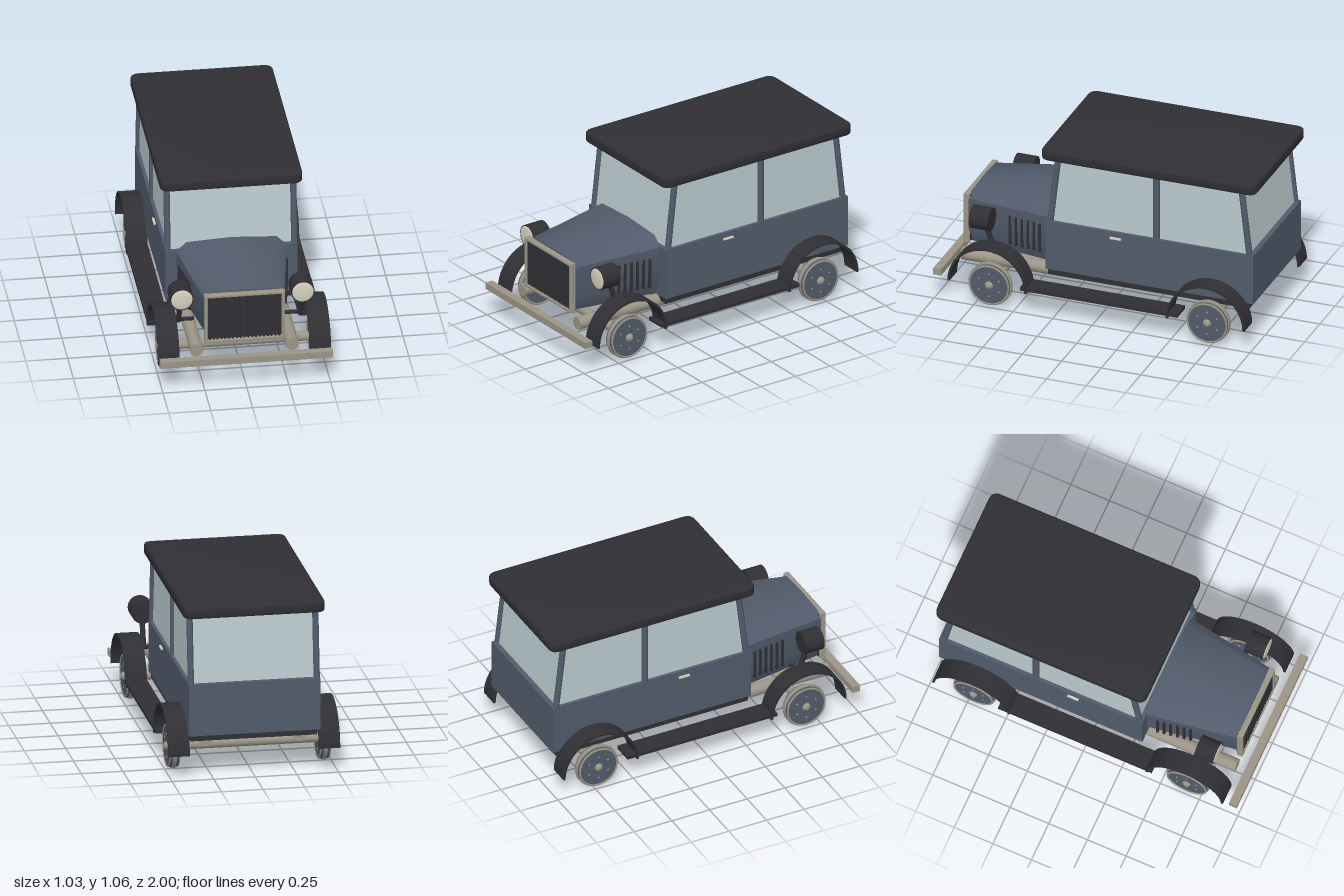
import * as THREE from 'three';
import { toCreasedNormals } from 'three/addons/utils/BufferGeometryUtils.js';

const mat = (name, color) => Object.assign(new THREE.MeshStandardMaterial({ color }), { name });

export function createModel() {
  const slate = mat('slate paint', 0x515b6b);
  const black = mat('black trim', 0x302f34);
  const metal = mat('warm grey metal', 0x9a9586);
  const cream = mat('cream lamp', 0xd6d2be);
  const glass = mat('window glass', 0xbacace);
  const car = new THREE.Group();
  car.name = 'vintageCar';

  const add = (name, geo, m, x = 0, y = 0, z = 0, parent = car) => {
    const mesh = new THREE.Mesh(geo, m);
    mesh.name = name;
    mesh.position.set(x, y, z);
    parent.add(mesh);
    return mesh;
  };
  // box given by its limits on each axis
  const box = (name, m, x0, x1, y0, y1, z0, z1) =>
    add(name, new THREE.BoxGeometry(Math.abs(x1 - x0), y1 - y0, z1 - z0), m, (x0 + x1) / 2, (y0 + y1) / 2, (z0 + z1) / 2);
  // straight round bar between two points
  const bar = (name, m, a, b, r, sides = 16) => {
    const p = new THREE.Vector3(...a), q = new THREE.Vector3(...b);
    const d = q.clone().sub(p);
    const mesh = add(name, new THREE.CylinderGeometry(r, r, d.length(), sides), m);
    mesh.position.copy(p).add(q).multiplyScalar(0.5);
    mesh.quaternion.setFromUnitVectors(new THREE.Vector3(0, 1, 0), d.normalize());
    return mesh;
  };

  // Cabin: lower body, floor, glazed upper part leaning inwards at both ends
  box('lowerBody', slate, -0.395, 0.395, 0.27, 0.588, -0.98, 0.335);
  box('floor', black, -0.38, 0.38, 0.23, 0.272, -0.95, 0.325);
  const cabin = new THREE.BoxGeometry(0.75, 0.43, 1.26);
  const cp = cabin.attributes.position;
  for (let i = 0; i < cp.count; i++) if (cp.getY(i) > 0) cp.setZ(i, cp.getZ(i) - Math.sign(cp.getZ(i)) * 0.05);
  cabin.computeVertexNormals();
  add('windows', cabin, glass, 0, 0.795, -0.32);
  for (const s of [-1, 1]) {
    bar('frontPillar', slate, [s * 0.378, 0.58, 0.31], [s * 0.378, 1.01, 0.26], 0.019);
    bar('middlePillar', slate, [s * 0.374, 0.58, -0.36], [s * 0.374, 1.01, -0.36], 0.021);
    bar('rearPillar', slate, [s * 0.378, 0.58, -0.95], [s * 0.378, 1.01, -0.9], 0.019);
    box('doorHandle', cream, s * 0.394, s * 0.408, 0.546, 0.556, -0.145, -0.075);
  }

  // Roof: rounded slab with softened edges
  const bev = 0.014, rw = 0.425 - bev, rl = 0.68 - bev, rr = 0.04;
  const roof = new THREE.Shape();
  roof.moveTo(-rw + rr, -rl).lineTo(rw - rr, -rl);
  roof.quadraticCurveTo(rw, -rl, rw, -rl + rr).lineTo(rw, rl - rr);
  roof.quadraticCurveTo(rw, rl, rw - rr, rl).lineTo(-rw + rr, rl);
  roof.quadraticCurveTo(-rw, rl, -rw, rl - rr).lineTo(-rw, -rl + rr);
  roof.quadraticCurveTo(-rw, -rl, -rw + rr, -rl);
  const roofGeo = new THREE.ExtrudeGeometry(roof, {
    depth: 0.068 - 2 * bev, bevelSize: bev, bevelThickness: bev, bevelSegments: 3, curveSegments: 5,
  }).rotateX(-Math.PI / 2);
  add('roof', toCreasedNormals(roofGeo, 0.7), black, 0, 0.999 + bev, -0.32);

  // Hood: lofted from the grille to the wider windscreen end
  const half = (pts) => [...pts, ...pts.slice(0, -1).reverse().map(([x, y]) => [-x, y])];
  const front = half([[0.2, 0.27], [0.24, 0.36], [0.24, 0.56], [0.2, 0.592], [0, 0.602]]);
  const rear = half([[0.29, 0.27], [0.325, 0.36], [0.33, 0.58], [0.27, 0.64], [0, 0.655]]);
  const pos = [];
  front.forEach((f, i) => {
    const j = (i + 1) % front.length;
    const a = [...f, 0.88], b = [...rear[i], 0.33], c = [...rear[j], 0.33], d = [...front[j], 0.88];
    pos.push(...a, ...b, ...c, ...a, ...c, ...d);
    pos.push(0, 0.43, 0.88, ...a, ...d, 0, 0.43, 0.33, ...c, ...b);
  });
  const hood = new THREE.BufferGeometry();
  hood.setAttribute('position', new THREE.Float32BufferAttribute(pos, 3));
  add('hood', toCreasedNormals(hood, 0.75), slate);
  for (const s of [-1, 1]) for (let i = 0; i < 6; i++) {
    const z = 0.4 + i * 0.04, x = 0.33 - (z - 0.33) * 0.164;
    box('hoodLouver', black, s * (x - 0.02), s * (x + 0.008), 0.335, 0.52, z - 0.007, z + 0.007);
  }

  // Radiator grille: frame, backing and upright slats
  const rect = (T, w, y0, y1) => new T().moveTo(-w, y0).lineTo(w, y0).lineTo(w, y1).lineTo(-w, y1).closePath();
  const frame = rect(THREE.Shape, 0.234, 0.276, 0.584);
  frame.holes.push(rect(THREE.Path, 0.226, 0.284, 0.576));
  add('grilleFrame', new THREE.ExtrudeGeometry(frame, {
    depth: 0.026, bevelSize: 0.006, bevelThickness: 0.006, bevelSegments: 2,
  }), metal, 0, 0, 0.882);
  box('grilleBacking', black, -0.225, 0.225, 0.28, 0.58, 0.87, 0.893);
  for (let i = 0; i < 19; i++) {
    const x = -0.207 + i * 0.023;
    box('grilleSlat', black, x - 0.006, x + 0.006, 0.286, 0.575, 0.89, 0.907);
  }

  // Chassis rails, axles and bumper
  for (const s of [-1, 1]) bar('chassisRail', metal, [s * 0.285, 0.222, -0.91], [s * 0.285, 0.222, 0.9], 0.04);
  const axles = [0.66, -0.72];
  for (const z of axles) bar('axle', metal, [-0.44, 0.14, z], [0.44, 0.14, z], 0.03);
  box('bumper', metal, -0.515, 0.515, 0.168, 0.209, 0.95, 1);

  // Wheels: slate discs around a metal running band, with hub and studs
  const disc = (r, w) => new THREE.CylinderGeometry(r, r, w, 32).rotateZ(Math.PI / 2);
  const rim = new THREE.TorusGeometry(0.123, 0.007, 6, 32).rotateY(Math.PI / 2);
  const hub = new THREE.SphereGeometry(0.027, 16, 10);
  const stud = new THREE.SphereGeometry(0.006, 8, 6);
  for (const s of [-1, 1]) for (const z of axles) {
    const wheel = new THREE.Group();
    wheel.name = 'wheel';
    wheel.position.set(s * 0.453, 0.14, z);
    car.add(wheel);
    add('runningBand', disc(0.136, 0.022), metal, 0, 0, 0, wheel);
    add('wheelDisc', disc(0.129, 0.056), slate, 0, 0, 0, wheel);
    for (const t of [-1, 1]) {
      add('rim', rim, metal, t * 0.026, 0, 0, wheel);
      add('hub', hub, metal, t * 0.022, 0, 0, wheel);
      for (let i = 0; i < 6; i++) {
        const a = (i / 6) * Math.PI * 2 + Math.PI / 6;
        add('stud', stud, metal, t * 0.028, 0.072 * Math.sin(a), 0.072 * Math.cos(a), wheel);
      }
    }
  }

  // Half-round fenders and running boards
  const arch = new THREE.Shape();
  arch.absarc(0, 0, 0.25, 0, Math.PI, false);
  arch.absarc(0, 0, 0.237, Math.PI, 0, true);
  const fender = toCreasedNormals(
    new THREE.ExtrudeGeometry(arch, { depth: 0.128, bevelEnabled: false, curveSegments: 24 }).rotateY(Math.PI / 2), 0.5);
  for (const s of [-1, 1]) {
    for (const z of axles) add('fender', fender, black, s > 0 ? 0.388 : -0.516, 0.145, z);
    box('runningBoard', black, s * 0.385, s * 0.515, 0.16, 0.182, -0.545, 0.45);
  }

  // Headlamps on slanted posts
  for (const s of [-1, 1]) {
    const x = s * 0.361;
    add('lampShell', new THREE.CylinderGeometry(0.07, 0.07, 0.122, 28).rotateX(Math.PI / 2), black, x, 0.517, 0.747);
    const lens = new THREE.SphereGeometry(0.064, 28, 8, 0, Math.PI * 2, 0, Math.PI / 2);
    add('lampLens', lens.scale(1, 0.12, 1).rotateX(Math.PI / 2), cream, x, 0.517, 0.808);
    bar('lampPost', black, [x, 0.3, 0.665], [x, 0.48, 0.725], 0.016, 10);
    bar('lampBracket', black, [s * 0.27, 0.31, 0.665], [x, 0.31, 0.665], 0.012, 10);
  }
  return car;
}
